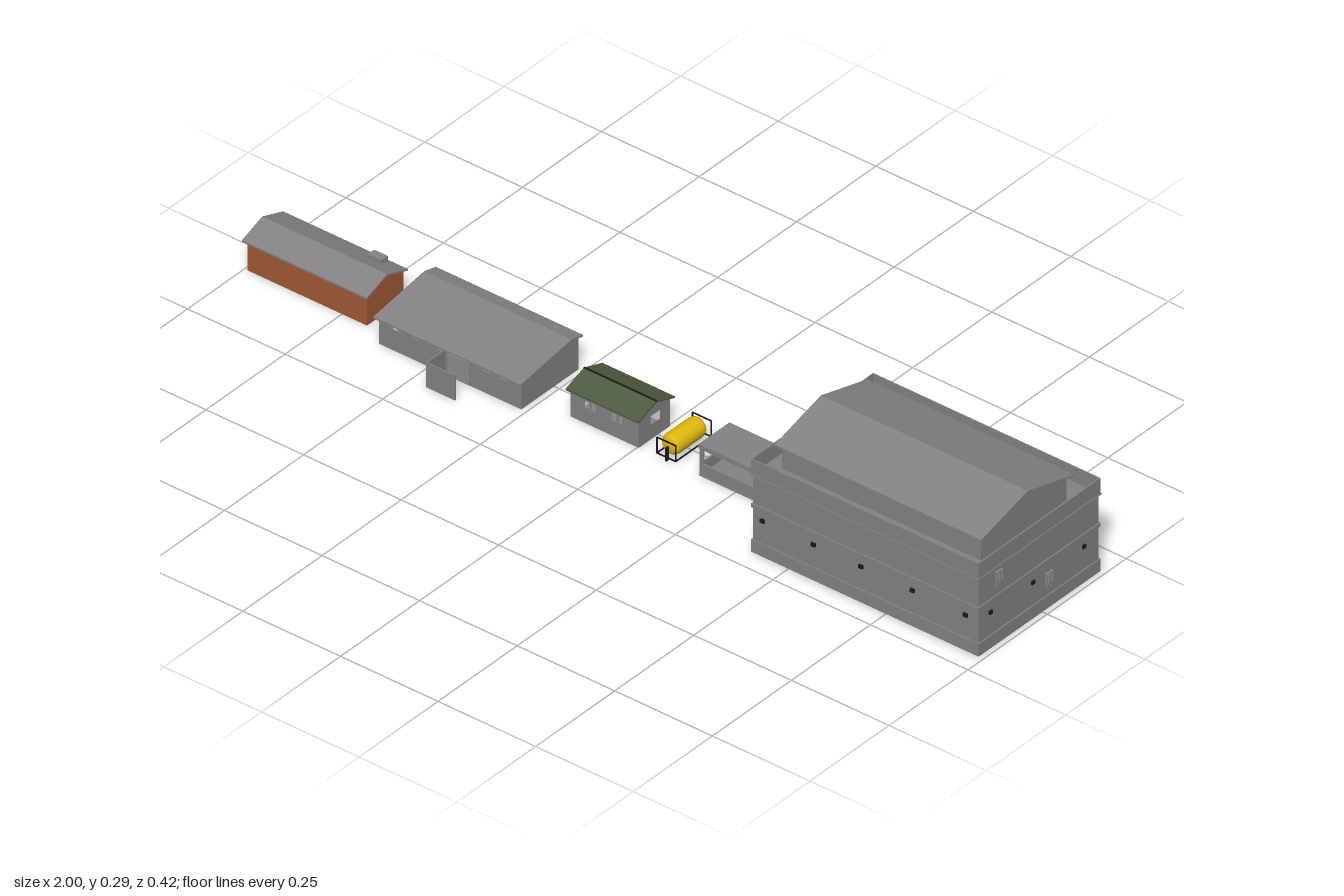
import * as THREE from 'three';

const mat = (name, color, side = THREE.FrontSide) => {
  const m = new THREE.MeshStandardMaterial({ color, side });
  m.name = name;
  return m;
};

export function createModel() {
  const root = new THREE.Group();
  root.name = 'compound';
  const grey = mat('concrete grey', 0x858283);
  const floorGrey = mat('floor grey', 0x858283, THREE.DoubleSide);
  const pale = mat('door grey', 0x908d8e);
  const brick = mat('brick brown', 0xa05a36);
  const green = mat('roof green', 0x4e5b40);
  const yellow = mat('tank yellow', 0xe2b90e);
  const black = mat('black', 0x1a1a1a);

  const group = (name) => {
    const g = new THREE.Group();
    g.name = name;
    root.add(g);
    return g;
  };
  const add = (g, name, geo, m) => {
    const mesh = new THREE.Mesh(geo, m);
    mesh.name = name;
    g.add(mesh);
    return mesh;
  };
  // Box from its limits on each axis
  const box = (g, name, m, x0, x1, y0, y1, z0, z1) =>
    add(g, name, new THREE.BoxGeometry(x1 - x0, y1 - y0, z1 - z0)
      .translate((x0 + x1) / 2, (y0 + y1) / 2, (z0 + z1) / 2), m);
  // Solid with a [z, y] outline, running along x
  const prism = (g, name, m, pts, x0, x1) => {
    const s = new THREE.Shape(pts.map(([z, y]) => new THREE.Vector2(-z, y)));
    const geo = new THREE.ExtrudeGeometry(s, { depth: x1 - x0, bevelEnabled: false });
    return add(g, name, geo.rotateY(Math.PI / 2).translate(x0, 0, 0), m);
  };
  // Thin pitched roof: [z, y] of front eave, ridge and back eave
  const roof = (g, m, pts, x0, x1, t = 0.004) =>
    prism(g, 'roof', m, [...pts, ...pts.slice().reverse().map(([z, y]) => [z, y - t])], x0, x1);
  // Flat wall facing outward, with rectangular openings [u0, u1, y0, y1]
  const angles = { front: 0, back: Math.PI, right: Math.PI / 2, left: -Math.PI / 2 };
  const wall = (g, side, m, pts, at, holes = []) => {
    const k = side === 'front' || side === 'left' ? 1 : -1;
    const vec = ([u, y]) => new THREE.Vector2(k * u, y);
    const s = new THREE.Shape(pts.map(vec));
    for (const [a, b, c, d] of holes)
      s.holes.push(new THREE.Path([[a, c], [b, c], [b, d], [a, d]].map(vec)));
    const geo = new THREE.ShapeGeometry(s).rotateY(angles[side]);
    if (side === 'front' || side === 'back') geo.translate(0, 0, at);
    else geo.translate(at, 0, 0);
    add(g, side + 'Wall', geo, m);
  };
  // Hollow house: four walls, floor; ridge is [z, y]
  const shell = (g, m, x0, x1, zf, zb, yf, yb, ridge, holes = {}) => {
    wall(g, 'front', m, [[x0, 0], [x1, 0], [x1, yf], [x0, yf]], zf, holes.front);
    wall(g, 'back', m, [[x0, 0], [x1, 0], [x1, yb], [x0, yb]], zb, holes.back);
    const gable = [[zb, 0], [zf, 0], [zf, yf], ridge, [zb, yb]];
    wall(g, 'right', m, gable, x1, holes.right);
    wall(g, 'left', m, gable, x0, holes.left);
    const floor = new THREE.PlaneGeometry(x1 - x0, zf - zb).rotateX(Math.PI / 2);
    add(g, 'floor', floor.translate((x0 + x1) / 2, 0, (zf + zb) / 2), floorGrey);
  };

  // Large hall with parapet
  const hall = group('mainHall');
  box(hall, 'body', grey, 0.412, 0.989, 0.005, 0.192, -0.176, 0.204);
  box(hall, 'plinth', grey, 0.409, 0.992, 0.005, 0.035, -0.179, 0.207);
  box(hall, 'middleBand', grey, 0.409, 0.992, 0.113, 0.122, -0.179, 0.207);
  box(hall, 'ledge', grey, 0.407, 0.994, 0.191, 0.193, -0.181, 0.209);
  for (const z of [-0.179, 0.2045])
    box(hall, 'parapet', grey, 0.409, 0.992, 0.193, 0.23, z, z + 0.0025);
  for (const x of [0.409, 0.9895])
    box(hall, 'parapet', grey, x, x + 0.0025, 0.193, 0.23, -0.1765, 0.2045);
  prism(hall, 'upperStorey', grey,
    [[0.153, 0.193], [0.153, 0.252], [0.018, 0.288], [-0.117, 0.252], [-0.117, 0.193]], 0.445, 0.955);
  roof(hall, grey, [[0.165, 0.253], [0.018, 0.293], [-0.129, 0.253]], 0.435, 0.965);

  // Loading ramp and back door
  const ramp = new THREE.Shape([[0.655, 0.035], [0.765, 0.035], [0.885, 0.008], [0.885, 0.004],
    [0.765, 0.03], [0.655, 0.03]].map(([x, y]) => new THREE.Vector2(x, y)));
  add(hall, 'ramp', new THREE.ExtrudeGeometry(ramp, { depth: 0.035, bevelEnabled: false })
    .translate(0, 0, -0.211), grey);
  box(hall, 'backDoor', pale, 0.672, 0.725, 0.035, 0.1, -0.178, -0.176);

  // Small dark vents
  for (const x of [0.438, 0.568, 0.69, 0.822, 0.958])
    for (const z of [-0.178, 0.206])
      box(hall, 'vent', black, x - 0.005, x + 0.005, 0.087, 0.095, z - 0.003, z + 0.003);
  for (const z of [0.167, 0.033, -0.128])
    for (const x of [0.411, 0.99])
      box(hall, 'vent', black, x - 0.003, x + 0.003, 0.087, 0.095, z - 0.005, z + 0.005);

  // Wall-mounted equipment boxes with two cable stubs
  const unit = (x, y, z, turn) => {
    const g = new THREE.Group();
    g.name = 'wallUnit';
    box(g, 'case', grey, -0.01, 0.01, -0.008, 0.018, 0, 0.006);
    for (const v of [-0.002, 0.005, 0.012])
      for (const u of [-0.005, 0.005])
        box(g, 'panel', pale, u - 0.003, u + 0.003, v - 0.002, v + 0.002, 0.006, 0.0075);
    for (const u of [-0.005, 0.005])
      box(g, 'cable', grey, u - 0.002, u + 0.002, -0.019, -0.008, 0, 0.004);
    g.position.set(x, y, z);
    g.rotation.y = turn;
    hall.add(g);
  };
  unit(0.989, 0.161, 0.142, Math.PI / 2);
  unit(0.989, 0.072, -0.017, Math.PI / 2);
  unit(0.412, 0.161, 0.1, -Math.PI / 2);
  for (const [x, y] of [[0.955, 0.161], [0.93, 0.161], [0.48, 0.085]])
    unit(x, y, -0.176, Math.PI);

  // Open shelter with low walls, corner posts and flat roof
  const shelter = group('openShelter');
  box(shelter, 'floor', grey, 0.157, 0.318, 0, 0.004, -0.036, 0.06);
  box(shelter, 'roof', grey, 0.155, 0.32, 0.065, 0.075, -0.038, 0.06);
  for (const z of [-0.036, 0.055]) {
    box(shelter, 'lowWall', grey, 0.157, 0.318, 0.004, 0.03, z, z + 0.004);
    for (const x of [0.157, 0.308])
      box(shelter, 'post', grey, x, x + 0.01, 0.03, 0.065, z, z + 0.004);
  }
  for (const x of [0.157, 0.314])
    box(shelter, 'lowWall', grey, x, x + 0.004, 0.004, 0.03, -0.032, 0.055);

  // Fuel tank in a rod frame
  const tank = group('fuelTank');
  const profile = [[0, -0.05], [0.014, -0.049], [0.021, -0.044], [0.024, -0.036],
    [0.024, 0.036], [0.021, 0.044], [0.014, 0.049], [0, 0.05]];
  add(tank, 'tankBody', new THREE.LatheGeometry(profile.map(([r, h]) => new THREE.Vector2(r, h)), 16)
    .rotateX(Math.PI / 2).translate(0.078, 0.036, 0.01), yellow);
  const r = 0.0012;
  for (const z of [-0.046, 0.066]) {
    for (const x of [0.054, 0.102])
      box(tank, 'framePost', black, x - r, x + r, 0.012, 0.052, z - r, z + r);
    for (const y of [0.013, 0.051])
      box(tank, 'frameBar', black, 0.054, 0.102, y - r, y + r, z - r, z + r);
  }
  for (const x of [0.054, 0.102])
    box(tank, 'frameRail', black, x - r, x + r, 0.012, 0.0144, -0.046, 0.066);
  box(tank, 'valve', black, 0.076, 0.08, 0.004, 0.036, 0.06, 0.068);

  // Green-roofed hut
  const hut = group('greenHut');
  shell(hut, grey, -0.172, 0.003, 0.061, -0.038, 0.07, 0.07, [0.012, 0.086], {
    front: [[-0.135, -0.108, 0.039, 0.056], [-0.066, -0.038, 0.039, 0.056]],
    back: [[-0.135, -0.085, 0.002, 0.056], [-0.066, -0.038, 0.039, 0.056]],
    right: [[-0.006, 0.024, 0.035, 0.056]],
  });
  for (const x of [-0.1215, -0.052]) {
    box(hut, 'windowBar', grey, x - 0.0015, x + 0.0015, 0.039, 0.056, 0.059, 0.062);
    box(hut, 'windowSill', grey, x - 0.016, x + 0.016, 0.036, 0.039, 0.06, 0.063);
  }
  roof(hut, green, [[0.07, 0.07], [0.012, 0.09], [-0.046, 0.07]], -0.177, 0.009);
  box(hut, 'ridgeCap', black, -0.177, 0.009, 0.089, 0.091, 0.01, 0.014);

  // Grey barn with an off-centre ridge
  const barn = group('greyBarn');
  const windows = [-0.582, -0.535, -0.468, -0.353, -0.308]
    .map((x) => [x - 0.01, x + 0.01, 0.051, 0.063]);
  shell(barn, grey, -0.628, -0.263, 0.104, -0.076, 0.068, 0.081, [-0.046, 0.088], { front: windows });
  roof(barn, grey, [[0.114, 0.068], [-0.046, 0.092], [-0.083, 0.083]], -0.634, -0.256);
  box(barn, 'garageDoor', pale, -0.615, -0.508, 0.001, 0.072, -0.078, -0.076);
  box(barn, 'frontDoor', pale, -0.45, -0.395, 0.001, 0.055, 0.104, 0.106);
  box(barn, 'screenWall', grey, -0.46, -0.457, 0, 0.06, 0.104, 0.163);
  box(barn, 'screenWall', grey, -0.46, -0.385, 0, 0.06, 0.16, 0.163);

  // Brick house
  const house = group('brickHouse');
  shell(house, brick, -0.992, -0.686, 0.07, -0.046, 0.074, 0.074, [0.014, 0.092]);
  roof(house, grey, [[0.078, 0.074], [0.014, 0.097], [-0.052, 0.074]], -1.0, -0.68);
  box(house, 'roofUnit', grey, -0.757, -0.722, 0.076, 0.094, -0.04, -0.02);
  for (const x of [-0.875, -0.92, -0.965])
    box(house, 'window', pale, x - 0.013, x + 0.013, 0.047, 0.061, -0.048, -0.046);
  box(house, 'sideDoor', pale, -0.994, -0.992, 0.001, 0.058, -0.026, 0.008);

  return root;
}
